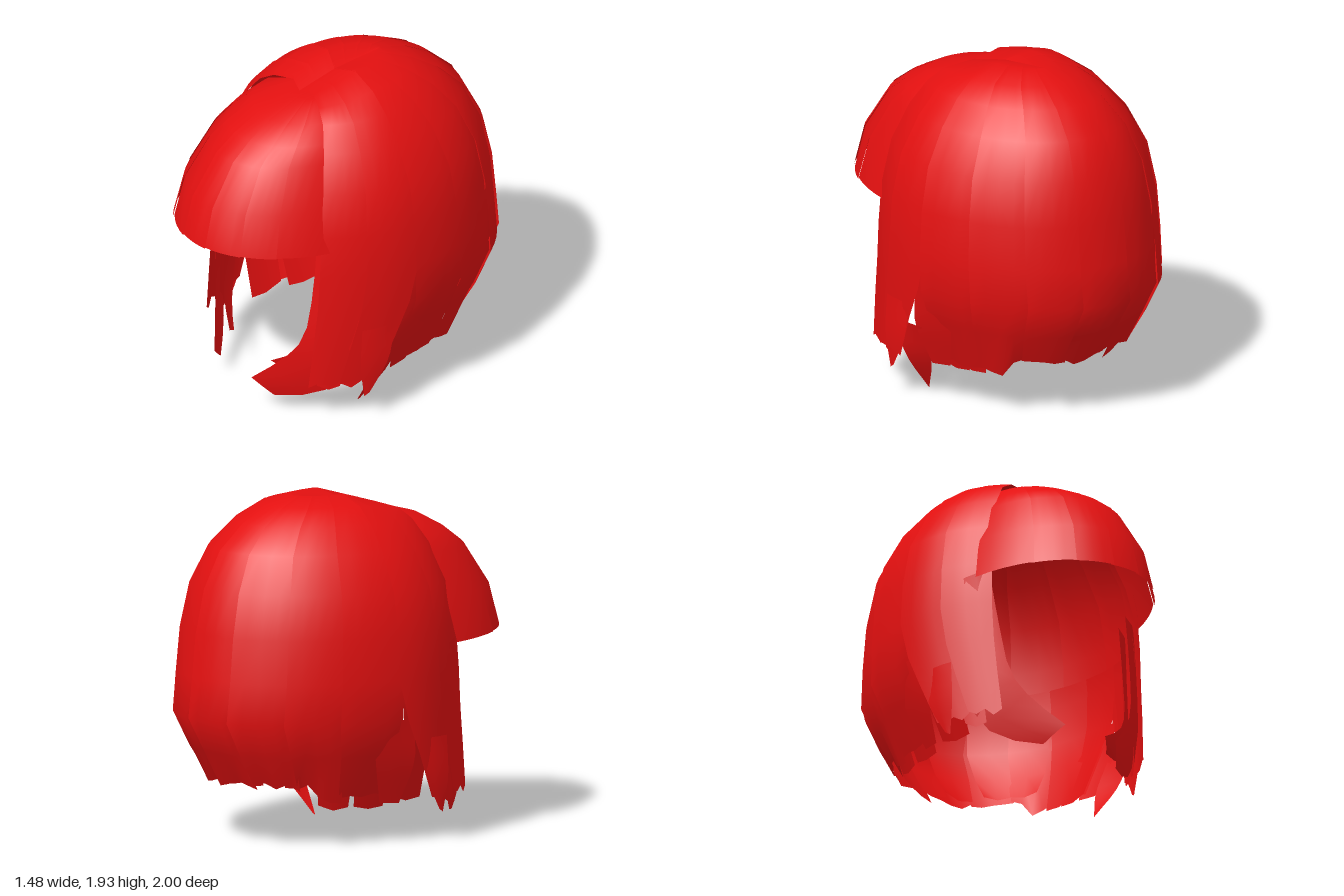
import * as THREE from 'three';

const RAD = Math.PI / 180;

// Crown-to-hem rings: height, half width, front z, back z
const CAP = [
  [1.935, 0.14, 0.33, -0.32], [1.89, 0.31, 0.40, -0.48], [1.80, 0.435, 0.45, -0.64],
  [1.66, 0.555, 0.53, -0.79], [1.45, 0.67, 0.62, -0.895], [1.20, 0.72, 0.68, -0.95],
  [0.95, 0.735, 0.70, -0.975], [0.72, 0.73, 0.72, -1.0], [0.52, 0.72, 0.75, -0.89],
  [0.32, 0.70, 0.79, -0.78],
];
const DROP = [0.11, 0.07, 0.02];
// Low rings: front locks sweep forward (degrees), rear locks tuck inward (share of width)
const SWEEP = { 7: 4, 8: 10, 9: 17 };
const TUCK = { 8: 0.09, 9: 0.22 };
// Fringe rings: height, half width, front z
const FRINGE = [
  [1.835, 0.16, 0.27], [1.775, 0.31, 0.50], [1.69, 0.395, 0.66], [1.60, 0.455, 0.78],
  [1.36, 0.56, 0.94], [1.12, 0.62, 1.0],
];

export function createModel() {
  const group = new THREE.Group();
  group.name = 'hairpiece';
  const red = new THREE.MeshStandardMaterial({ color: 0xe31010, side: THREE.DoubleSide });
  red.name = 'hair red';

  let seed = 11;
  const rand = () => (seed = (seed * 16807) % 2147483647) / 2147483647;

  // Sheet through a grid of points: at(column, row) gives [x, y, z]
  function sheet(name, cols, rows, at) {
    const pos = [], idx = [];
    for (let r = 0; r <= rows; r++)
      for (let c = 0; c <= cols; c++) pos.push(...at(c, r));
    for (let r = 0; r < rows; r++)
      for (let c = 0; c < cols; c++) {
        const i = r * (cols + 1) + c, j = i + cols + 1;
        idx.push(i, j, i + 1, i + 1, j, j + 1);
      }
    const g = new THREE.BufferGeometry();
    g.setAttribute('position', new THREE.Float32BufferAttribute(pos, 3));
    g.setIndex(idx);
    g.computeVertexNormals();
    const mesh = new THREE.Mesh(g, red);
    mesh.name = name;
    group.add(mesh);
  }

  const fold = a => Math.min(a, 360 - a);

  // Point on the cap at an angle from the front (degrees) and a ring
  function capPoint(a, ring, k, dy, front) {
    const [y, w, f, b] = CAP[ring], zc = -0.05;
    let angle = fold(a);
    if (front) angle -= (SWEEP[ring] || 0) * (angle - 46) / 45;
    const s = Math.sin(angle * RAD), c = Math.cos(angle * RAD);
    const width = w * k * (front ? 1 : 1 - (TUCK[ring] || 0) * s);
    return [(a > 180 ? -1 : 1) * width * s,
      y - (DROP[ring] || 0) * Math.max(0, c) + dy,
      zc + k * c * (c > 0 ? f - zc : zc - b)];
  }

  // Start of a lock on the centre parting
  function parting(a) {
    const b = fold(a);
    return b < 90 ? [0, 1.90 - 0.06 * (90 - b) / 44, 0.24 * (90 - b) / 44]
      : [0, 1.90 + 0.03 * (b - 90) / 90, -0.30 * (b - 90) / 90];
  }

  // Outer locks, each with one edge lying over its neighbour
  const seams = [46, 68, 91, 112, 134, 156, 179, 202, 226, 247, 269, 292, 314];
  for (let i = 0; i < seams.length - 1; i++) {
    const left = seams[i] - (i ? 1.5 : 0), right = seams[i + 1];
    const front = fold((left + right) / 2) < 91;
    const jag = [0, 1, 2, 3, 4].map(() => rand() * 0.05 - 0.025);
    sheet('outerLock', 4, CAP.length, (c, r) => {
      const a = left + (right - left) * c / 4;
      if (r === 0) return parting(a);
      const hem = r === CAP.length ? (fold(a) > 128 ? 0.02 : -0.06) + jag[c] : 0;
      return capPoint(a, r - 1, 0.99 + 0.018 * (1 - c / 4), hem, front);
    });
  }

  // Inner locks with uneven pointed ends under the hem
  for (let a = 58; a <= 302; a += 17) {
    const tip = (fold(a) < 125 ? -0.10 : 0.035) - rand() * 0.03, lean = rand() * 10 - 5;
    sheet('innerLock', 2, 4, (c, r) => {
      const width = [9.5, 9.5, 9, 9, 8][r];
      const dy = r === 0 ? -0.14 : r === 4 ? tip + (c === 1 ? 0 : 0.04 * rand()) : 0;
      return capPoint(a + (c - 1) * width + lean * r / 4, 5 + r, 0.97 - 0.008 * r, dy, fold(a) < 80);
    });
  }

  // Fringe locks, rooted beneath the front of the cap, fuller on the right side
  const cuts = [-78, -48, -27, -6, 13, 34, 52, 78];
  for (let i = 0; i < cuts.length - 1; i++) {
    const left = cuts[i] - (i ? 1.5 : 0), right = cuts[i + 1];
    sheet('fringeLock', 4, FRINGE.length, (c, r) => {
      // spread the roots wider than the hem so they stay covered
      const a = (left + (right - left) * c / 4) * (1.1 - 0.14 * r / FRINGE.length) * RAD;
      if (r === 0) return [0.13 * Math.sin(a), 1.84, 0.05];
      const [y, w, f] = FRINGE[r - 1], k = 0.99 + 0.012 * c / 4;
      const hem = r === FRINGE.length ? -0.02 * (1 - Math.cos(a)) : 0;
      const width = w * k * (a > 0 ? 0.94 : 1);
      return [width * Math.sin(a), y + hem, 0.2 + (f - 0.2) * k * Math.cos(a)];
    });
  }

  // Free lock between two edge paths, bulged outward across its width
  function freeLock(name, edgeA, edgeB, side = 1, bulge = 0.03) {
    const [A, B] = [edgeA, edgeB].map(e =>
      new THREE.CatmullRomCurve3(e.map(p => new THREE.Vector3(...p))));
    sheet(name, 3, 7, (c, r) => {
      const p = A.getPoint(r / 7).lerp(B.getPoint(r / 7), c / 3);
      const out = bulge * Math.sin(Math.PI * c / 3) * (1 - r / 8);
      return [side * (p.x + out), p.y, p.z + out * 0.6];
    });
  }

  for (const s of [1, -1]) {
    // Face-framing locks that curl in under the chin, closer to the face on the left
    const top = s > 0 ? 0.455 : 0.52, mid = s > 0 ? 0.46 : 0.475;
    freeLock('cheekLock',
      [[top, 1.15, 0.44], [mid, 0.80, 0.475], [0.43, 0.52, 0.52], [0.34, 0.37, 0.58], [0.18, 0.20, 0.70]],
      [[0.63, 1.10, 0.26], [0.65, 0.70, 0.28], [0.62, 0.38, 0.33], [0.47, 0.15, 0.43], [0.26, 0.09, 0.60]], s);
    freeLock('innerCheekLock',
      [[top, 1.10, 0.38], [mid, 0.78, 0.41], [0.45, 0.54, 0.44], [0.37, 0.40, 0.50], [0.20, 0.28, 0.58]],
      [[0.63, 1.05, 0.18], [0.63, 0.70, 0.20], [0.58, 0.40, 0.28], [0.46, 0.26, 0.38], [0.27, 0.22, 0.50]], s);
    // Pointed side wisps
    freeLock('sideWisp',
      [[0.67, 0.60, 0.28], [0.67, 0.36, 0.29], [0.66, 0.16, 0.26]],
      [[0.70, 0.60, 0.08], [0.70, 0.38, 0.12], [0.67, 0.18, 0.23]], s, 0.01);
    freeLock('rearWisp',
      [[0.71, 0.72, 0.02], [0.67, 0.48, 0.06], [0.57, 0.22, 0.02]],
      [[0.69, 0.72, -0.24], [0.63, 0.48, -0.18], [0.55, 0.23, -0.10]], s, 0.01);
  }
  // Single long loose wisp
  freeLock('looseWisp',
    [[0.68, 0.48, 0.22], [0.61, 0.24, 0.19], [0.45, 0, 0.16]],
    [[0.66, 0.46, 0.02], [0.57, 0.24, 0.03], [0.46, 0.01, 0.15]], 1, 0.005);

  return group;
}
